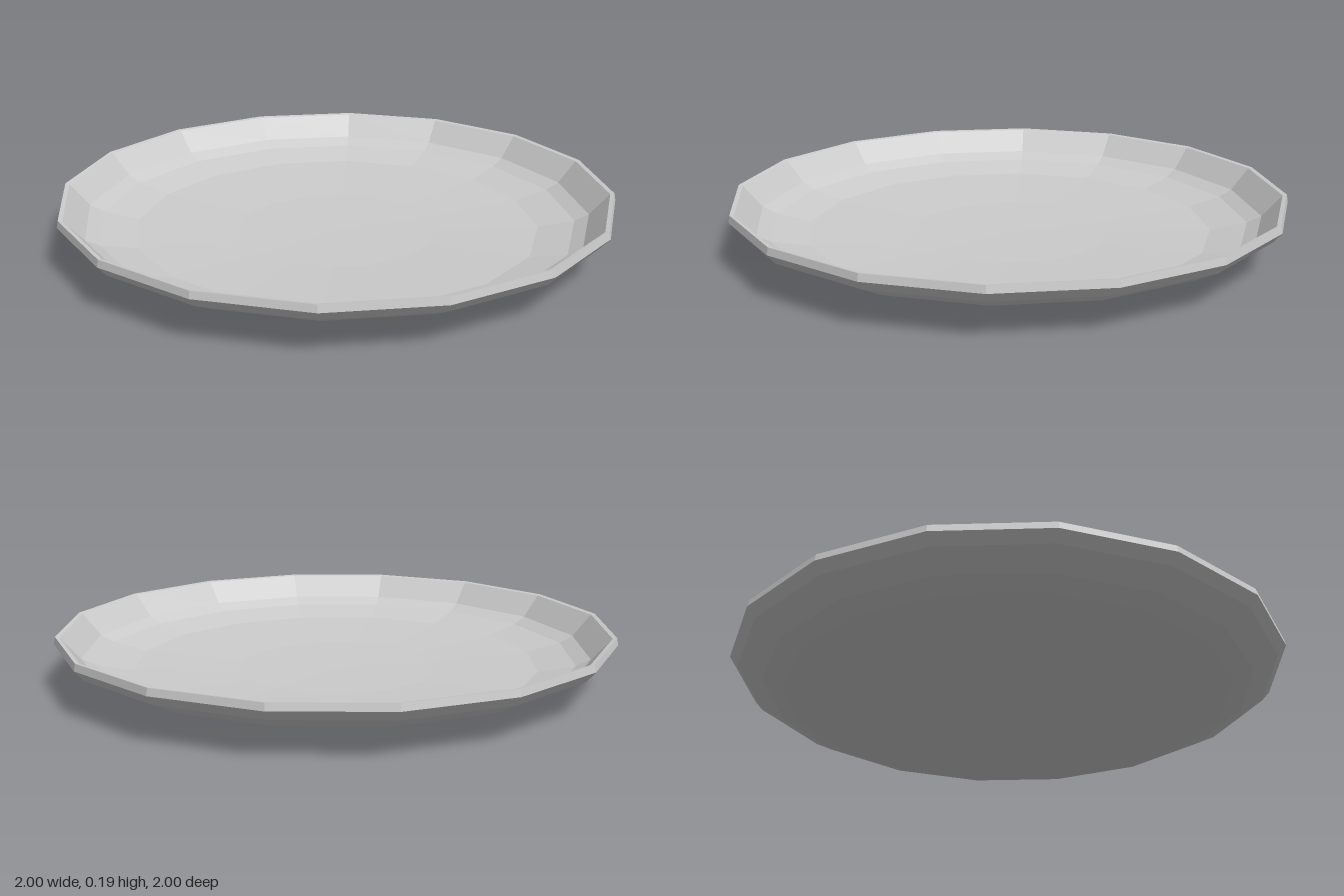
import * as THREE from 'three';

export function createModel() {
  const group = new THREE.Group();
  group.name = 'dish';

  // Closed wall profile [radius, height]: underside, rim, then the inside
  const profile = [
    [0, 0], [0.36, 0.013], [0.67, 0.036], [0.81, 0.058], [0.88, 0.083],
    [0.97, 0.13], [1, 0.165], [0.995, 0.19], [0.98, 0.187],
    [0.91, 0.108], [0.86, 0.083], [0.73, 0.055], [0.36, 0.035], [0, 0.03],
  ].map(([r, y]) => new THREE.Vector2(r, y));

  // Shallow sixteen-sided plate
  const plate = new THREE.Mesh(
    new THREE.LatheGeometry(profile, 16),
    new THREE.MeshStandardMaterial({ color: 0xcccccc, flatShading: true })
  );
  plate.name = 'plate';
  group.add(plate);
  return group;
}
